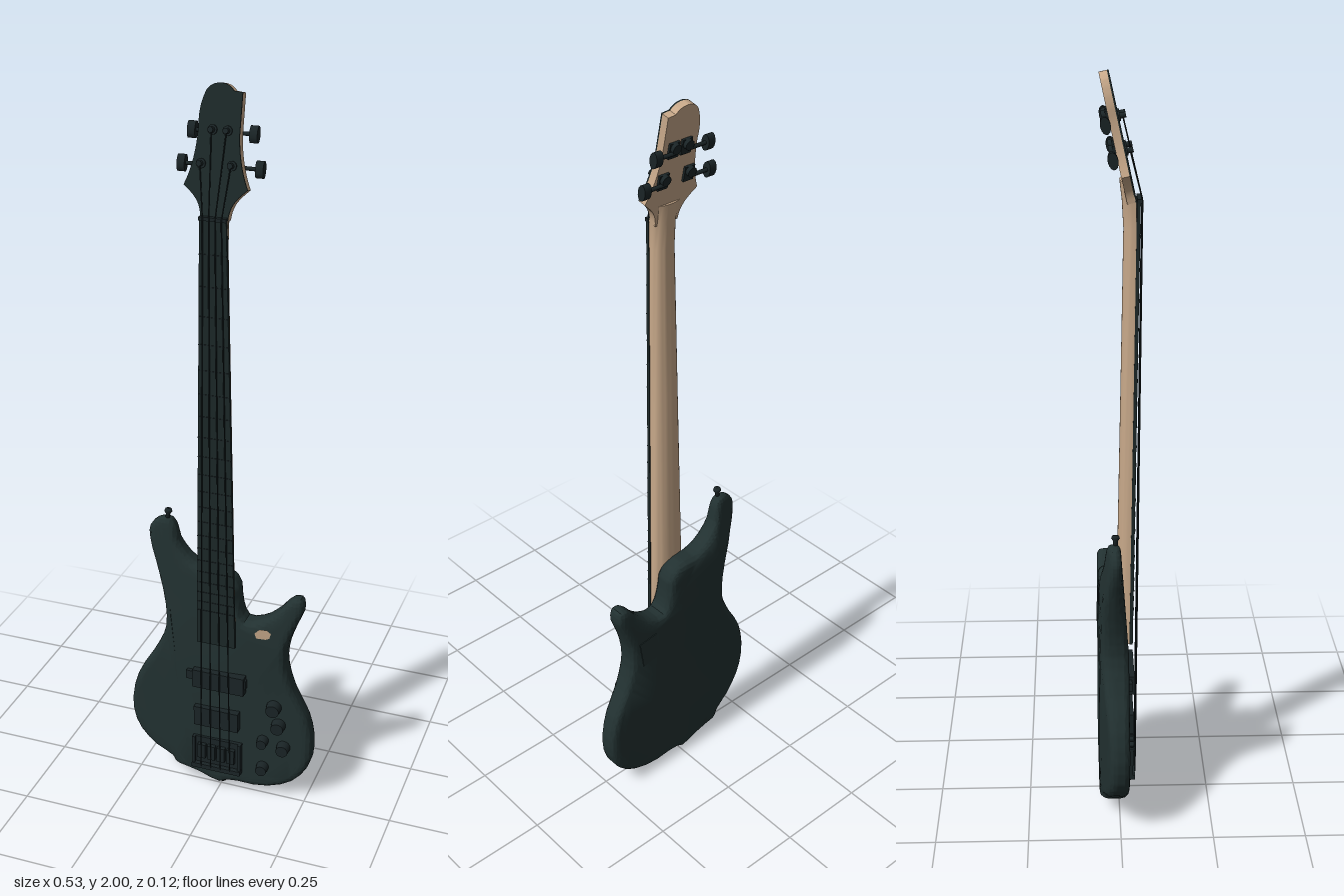
import * as THREE from 'three';
import { toCreasedNormals } from 'three/addons/utils/BufferGeometryUtils.js';

const mat = (name, color, side = THREE.FrontSide) => {
  const m = new THREE.MeshStandardMaterial({ color, side });
  m.name = name;
  return m;
};
const V = (x, y, z) => new THREE.Vector3(x, y, z);

// surface heights of the contoured body
const front = (x, y) => 0.024 - 0.085 * Math.max(0, x) - 0.07 * Math.max(0, y - 0.5);
const back = (x, y) => -0.055 + 0.2 * Math.max(0, -x - 0.12) + 0.1 * Math.max(0, y - 0.68);
// front of the fretboard
const boardZ = y => 0.037 + (y - 0.5) * 0.0135;

// split every triangle into four, `times` times
function subdivide(geo, times) {
  let p = Array.from(geo.attributes.position.array);
  for (let t = 0; t < times; t++) {
    const out = [];
    for (let i = 0; i < p.length; i += 9) {
      const [a, b, c] = [0, 3, 6].map(k => [p[i + k], p[i + k + 1], p[i + k + 2]]);
      const mid = (u, v) => u.map((n, k) => (n + v[k]) / 2);
      const ab = mid(a, b), bc = mid(b, c), ca = mid(c, a);
      out.push(...[a, ab, ca, ab, b, bc, ca, bc, c, ab, bc, ca].flat());
    }
    p = out;
  }
  const g = new THREE.BufferGeometry();
  g.setAttribute('position', new THREE.Float32BufferAttribute(p, 3));
  return g;
}

export function createModel() {
  const root = new THREE.Group();
  root.name = 'bassGuitar';
  const paint = mat('dark green paint', 0x223131);
  const board = mat('dark fingerboard', 0x1c2828);
  const metal = mat('black hardware', 0x1a2426);
  const wood = mat('pale maple', 0xc8a98a);

  const add = (name, geo, m, x = 0, y = 0, z = 0, parent = root) => {
    const mesh = new THREE.Mesh(geo, m);
    mesh.name = name;
    mesh.position.set(x, y, z);
    parent.add(mesh);
    return mesh;
  };
  const box = (name, w, h, d, m, x, y, z, parent) =>
    add(name, new THREE.BoxGeometry(w, h, d), m, x, y, z, parent);
  // round rod between two points
  const rod = (name, a, b, r, m, parent, sides = 6) => {
    const mesh = add(name, new THREE.CylinderGeometry(r, r, a.distanceTo(b), sides), m, 0, 0, 0, parent);
    mesh.position.copy(a).lerp(b, 0.5);
    mesh.quaternion.setFromUnitVectors(V(0, 1, 0), b.clone().sub(a).normalize());
    return mesh;
  };

  // body: bevelled outline bent to the front and back contours
  const outline = [
    [0, 0.012], [0.026, 0.023], [0.127, 0.022], [0.21, 0.055], [0.255, 0.115], [0.265, 0.19],
    [0.25, 0.27], [0.206, 0.36], [0.185, 0.44], [0.19, 0.505], [0.21, 0.565], [0.228, 0.615],
    [0.221, 0.645], [0.197, 0.645], [0.16, 0.605], [0.116, 0.57], [0.07, 0.56], [0.052, 0.6],
    [0.042, 0.67], [0, 0.7], [-0.048, 0.7], [-0.09, 0.72], [-0.125, 0.765], [-0.135, 0.81],
    [-0.15, 0.833], [-0.18, 0.832], [-0.206, 0.805], [-0.207, 0.765], [-0.185, 0.68], [-0.162, 0.575],
    [-0.161, 0.5], [-0.19, 0.43], [-0.244, 0.335], [-0.265, 0.24], [-0.25, 0.16], [-0.2, 0.1],
    [-0.145, 0.068], [-0.135, 0.05], [-0.07, 0.034],
  ].map(p => V(p[0], p[1], 0));
  const curve = new THREE.CatmullRomCurve3(outline, true);
  const pts = curve.getPoints(90).slice(0, -1).map(p => new THREE.Vector2(p.x, p.y));
  const bodyGeo = subdivide(new THREE.ExtrudeGeometry(new THREE.Shape(pts), {
    depth: 0.034, bevelThickness: 0.023, bevelSize: 0.018, bevelOffset: -0.018, bevelSegments: 3, steps: 1,
  }), 2);
  const bp = bodyGeo.attributes.position;
  for (let i = 0; i < bp.count; i++) {
    const x = bp.getX(i), y = bp.getY(i), u = (bp.getZ(i) + 0.023) / 0.08;
    bp.setZ(i, THREE.MathUtils.lerp(back(x, y), front(x, y), u));
  }
  add('body', toCreasedNormals(bodyGeo, 0.7), paint);

  // bare wood patch and rear cover
  const patch = add('woodPatch', new THREE.CircleGeometry(0.024, 7), wood, 0.124, 0.535, front(0.124, 0.535) + 0.002);
  patch.scale.y = 0.75;
  patch.rotation.set(0.07, 0.085, 0.3);
  box('rearCover', 0.06, 0.085, 0.006, paint, 0.125, 0.47, -0.054).rotation.z = -0.15;

  // neck: D-shaped sections [y, half width, front z, depth]
  const sections = [
    [0.49, 0.053, 0.029, 0.03], [0.7, 0.049, 0.032, 0.036], [1.2, 0.041, 0.039, 0.034],
    [1.62, 0.034, 0.044, 0.032], [1.69, 0.035, 0.042, 0.034], [1.74, 0.042, 0.026, 0.024],
  ];
  const N = 17, pos = [], idx = [];
  sections.forEach(([y, w, z, d], r) => {
    for (let j = 0; j < N; j++) {
      const a = j / (N - 1) * Math.PI;
      pos.push(-0.003 + w * Math.cos(a), y, z - d * Math.pow(Math.sin(a), 0.7));
    }
    if (!r) return;
    for (let j = 0; j < N; j++) {
      const a = (r - 1) * N + j, b = (r - 1) * N + (j + 1) % N;
      idx.push(a, b + N, b, a, a + N, b + N);
    }
  });
  for (let j = 1; j < N - 1; j++) {
    const e = (sections.length - 1) * N;
    idx.push(0, j, j + 1, e, e + j + 1, e + j);
  }
  const neckGeo = new THREE.BufferGeometry();
  neckGeo.setAttribute('position', new THREE.Float32BufferAttribute(pos, 3));
  neckGeo.setIndex(idx);
  // orient faces outwards, away from the neck core
  const core = V(0, 0, 0), [A, B, C] = [V(), V(), V()];
  for (let i = 0; i < idx.length; i += 3) {
    [A, B, C].forEach((v, k) => v.fromArray(pos, idx[i + k] * 3));
    const n = B.clone().sub(A).cross(C.clone().sub(A));
    const mid = A.clone().add(B).add(C).divideScalar(3);
    core.set(-0.003, THREE.MathUtils.clamp(mid.y, 0.52, 1.71), mid.y > 1.7 ? 0.024 : boardZ(mid.y) - 0.02);
    if (n.dot(mid.sub(core)) < 0) [idx[i + 1], idx[i + 2]] = [idx[i + 2], idx[i + 1]];
  }
  neckGeo.setIndex(idx);
  add('neck', toCreasedNormals(neckGeo, 0.7), wood);

  // tapered fingerboard with frets
  const halfW = y => 0.055 - (y - 0.49) * 0.0171;
  const boardGeo = new THREE.BoxGeometry(1, 1.2, 0.009);
  const fp = boardGeo.attributes.position;
  for (let i = 0; i < fp.count; i++) {
    const y = 1.09 + fp.getY(i);
    fp.setXYZ(i, -0.003 + fp.getX(i) * 2 * halfW(y), y, boardZ(y) - 0.0045 + fp.getZ(i));
  }
  boardGeo.computeVertexNormals();
  add('fingerboard', boardGeo, board);
  for (let k = 1; k <= 21; k++) {
    const y = 0.13 + 1.56 * Math.pow(2, -k / 12);
    if (y > 0.52) box('fret', halfW(y) * 2, 0.003, 0.002, metal, -0.003, y, boardZ(y) + 0.0005);
  }
  box('nut', 0.07, 0.009, 0.012, metal, -0.003, 1.692, boardZ(1.69) - 0.002);

  // headstock, tilted backwards
  const head = new THREE.Group();
  head.name = 'headstock';
  head.position.set(0, 1.69, 0.044);
  head.rotation.x = -0.215;
  root.add(head);
  const hs = new THREE.Shape();
  hs.moveTo(0.032, 0);
  hs.bezierCurveTo(0.034, 0.04, 0.055, 0.055, 0.076, 0.075);
  hs.quadraticCurveTo(0.05, 0.13, 0.046, 0.2);
  hs.lineTo(0.046, 0.298);
  hs.lineTo(0.024, 0.3);
  hs.bezierCurveTo(0.01, 0.322, -0.03, 0.322, -0.044, 0.298);
  hs.quadraticCurveTo(-0.062, 0.26, -0.058, 0.215);
  hs.quadraticCurveTo(-0.06, 0.13, -0.086, 0.075);
  hs.bezierCurveTo(-0.06, 0.055, -0.04, 0.04, -0.038, 0);
  const slab = (depth, z) => toCreasedNormals(
    new THREE.ExtrudeGeometry(hs, { depth, bevelEnabled: false }).translate(0, 0, z), 0.6);
  add('headstockWood', slab(0.02, -0.024), wood, 0, 0, 0, head);
  add('headstockFace', slab(0.004, -0.004), board, 0, 0, 0, head);

  // four tuners: [post x, button x, height on headstock]
  const tuners = [[-0.045, -0.106, 0.128], [-0.022, -0.085, 0.208], [0.016, 0.072, 0.208], [0.033, 0.093, 0.128]];
  tuners.forEach(([px, bx, y]) => {
    const t = new THREE.Group();
    t.name = 'tuner';
    head.add(t);
    rod('post', V(px, y, -0.03), V(px, y, 0.018), 0.007, metal, t, 12);
    rod('washer', V(px, y, 0), V(px, y, 0.004), 0.012, metal, t, 14);
    box('gearPlate', 0.03, 0.04, 0.006, metal, px, y, -0.027, t);
    rod('gear', V(px, y + 0.008, -0.04), V(px, y + 0.008, -0.026), 0.013, metal, t, 14);
    rod('shaft', V(px, y - 0.004, -0.034), V(bx, y - 0.004, -0.034), 0.005, metal, t, 8);
    const key = add('button', new THREE.CylinderGeometry(0.021, 0.021, 0.02, 14), metal, bx, y - 0.004, -0.034, t);
    key.rotation.z = Math.PI / 2;
    key.scale.z = 0.6;
  });

  // pickups
  box('neckPickup', 0.15, 0.055, 0.024, metal, 0.004, 0.37, 0.03);
  box('neckPickupTab', 0.175, 0.026, 0.014, metal, -0.004, 0.375, 0.028);
  box('bridgePickup', 0.13, 0.06, 0.022, metal, -0.003, 0.245, 0.029);

  // bridge with saddles
  box('bridgePlate', 0.145, 0.1, 0.01, metal, -0.002, 0.12, 0.026);
  box('bridgeTail', 0.145, 0.014, 0.024, metal, -0.002, 0.077, 0.032);
  for (const s of [-1, 1]) box('bridgeSide', 0.008, 0.1, 0.018, metal, -0.002 + s * 0.068, 0.12, 0.03);

  // strings, with their saddles
  tuners.forEach(([px, , y], i) => {
    const k = i - 1.5, x0 = -0.002 + k * 0.029, x1 = -0.003 + k * 0.016;
    box('saddle', 0.023, 0.045, 0.014, metal, x0, 0.128, 0.036);
    const nutPoint = V(x1, 1.692, boardZ(1.69) + 0.005);
    rod('string', V(x0, 0.08, 0.045), nutPoint, 0.0017, metal);
    const post = V(px, y, 0.01).applyEuler(head.rotation).add(head.position);
    rod('stringEnd', nutPoint, post, 0.0017, metal);
  });

  // control knobs [x, y, radius]
  [[0.16, 0.307, 0.022], [0.174, 0.25, 0.021], [0.13, 0.19, 0.017], [0.189, 0.178, 0.02], [0.13, 0.1, 0.018]]
    .forEach(([x, y, r]) => {
      const g = new THREE.CylinderGeometry(r * 0.85, r, 0.03, 18).rotateX(Math.PI / 2);
      add('controlKnob', g, metal, x, y, front(x, y) + 0.011).rotation.y = 0.085;
    });

  // strap buttons
  const strap = [[0, 0], [0.006, 0], [0.006, 0.012], [0.011, 0.02], [0.009, 0.026], [0, 0.027]]
    .map(p => new THREE.Vector2(...p));
  const pin = (x, y, z, flip, tilt) => {
    const m = add('strapButton', new THREE.LatheGeometry(strap, 14), metal, x, y, z);
    m.rotation.z = flip + tilt;
  };
  pin(-0.158, 0.833, -0.012, 0, -0.1);
  pin(0, 0.027, -0.015, Math.PI, 0);

  return root;
}
